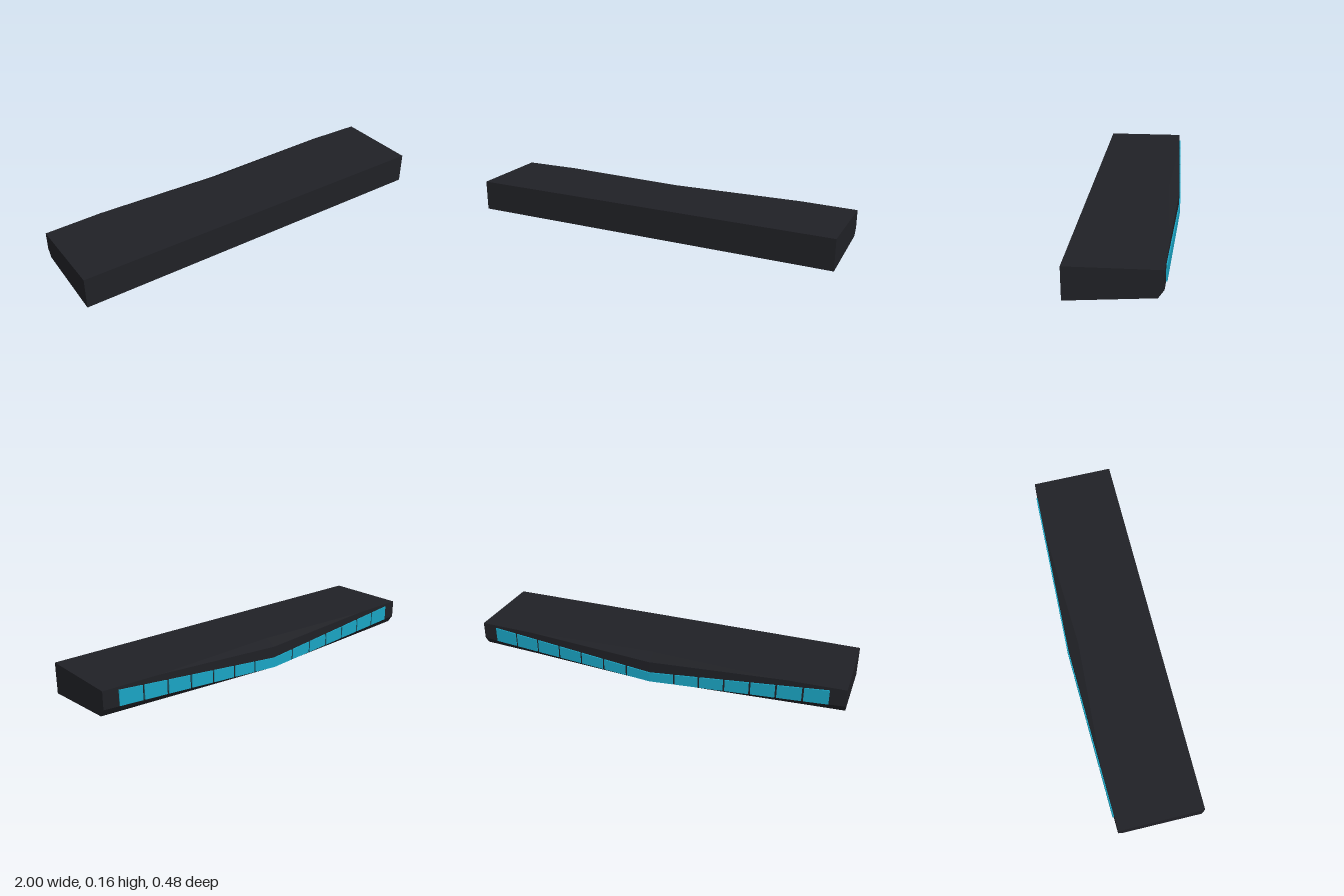
import * as THREE from 'three';

const lerp = THREE.MathUtils.lerp;

// Skin a row of [x, loop of [z, y]] sections (x rising) and cap both ends.
function loft(sections, material, name) {
  const rows = sections.map(([x, loop]) => loop.map(([z, y]) => new THREE.Vector3(x, y, z)));
  const points = [];
  const n = rows[0].length;
  for (let i = 0; i < rows.length - 1; i++) {
    for (let j = 0; j < n; j++) {
      const k = (j + 1) % n;
      const a = rows[i][j], b = rows[i][k], c = rows[i + 1][k], d = rows[i + 1][j];
      points.push(a, d, c, a, c, b);
    }
  }
  const first = rows[0], last = rows[rows.length - 1];
  for (let k = 1; k < n - 1; k++) {
    points.push(first[0], first[k], first[k + 1], last[0], last[k + 1], last[k]);
  }
  const geometry = new THREE.BufferGeometry().setFromPoints(points);
  geometry.computeVertexNormals();
  const mesh = new THREE.Mesh(geometry, material);
  mesh.name = name;
  return mesh;
}

export function createModel() {
  const group = new THREE.Group();
  group.name = 'lightBar';
  const dark = new THREE.MeshStandardMaterial({ color: 0x202126, flatShading: true });
  const cyan = new THREE.MeshStandardMaterial({ color: 0x1aa5c4, flatShading: true });

  const front = 0.238, height = 0.162;
  const rearZ = (x) => lerp(-0.232, -0.202, Math.abs(x));

  // Housing: bowed back, bevelled underside, top corner cut away towards the middle
  const bodySection = (x) => {
    const t = Math.abs(x);
    const cut = Math.max(0, 1 - t / 0.7);
    return [x, [
      [front, 0],
      [front, height],
      [rearZ(x) + 0.057 * cut, height],
      [rearZ(x), height - 0.032 * cut],
      [rearZ(x), lerp(0.016, 0.07, t)],
      [lerp(-0.2, -0.175, t), lerp(0, 0.03, t)],
    ]];
  };
  group.add(loft([-1, -0.7, 0, 0.7, 1].map(bodySection), dark, 'housing'));

  // Lamp panels along the back, dipping towards a double-width middle one
  const panelSection = (x) => {
    const t = Math.abs(x), z = rearZ(x);
    const low = lerp(0.018, 0.073, t), high = lerp(0.07, 0.154, t);
    return [x, [[z + 0.01, low], [z + 0.01, high], [z - 0.006, high], [z - 0.006, low]]];
  };
  const pitch = 0.132, gap = 0.005;
  const panels = new THREE.Group();
  panels.name = 'lampPanels';
  panels.add(loft([-pitch + gap, 0, pitch - gap].map(panelSection), cyan, 'middlePanel'));
  for (let i = 1; i < 7; i++) {
    const a = i * pitch + gap, b = (i + 1) * pitch - gap;
    panels.add(loft([a, b].map(panelSection), cyan, 'leftPanel' + i));
    panels.add(loft([-b, -a].map(panelSection), cyan, 'rightPanel' + i));
  }
  group.add(panels);
  return group;
}
